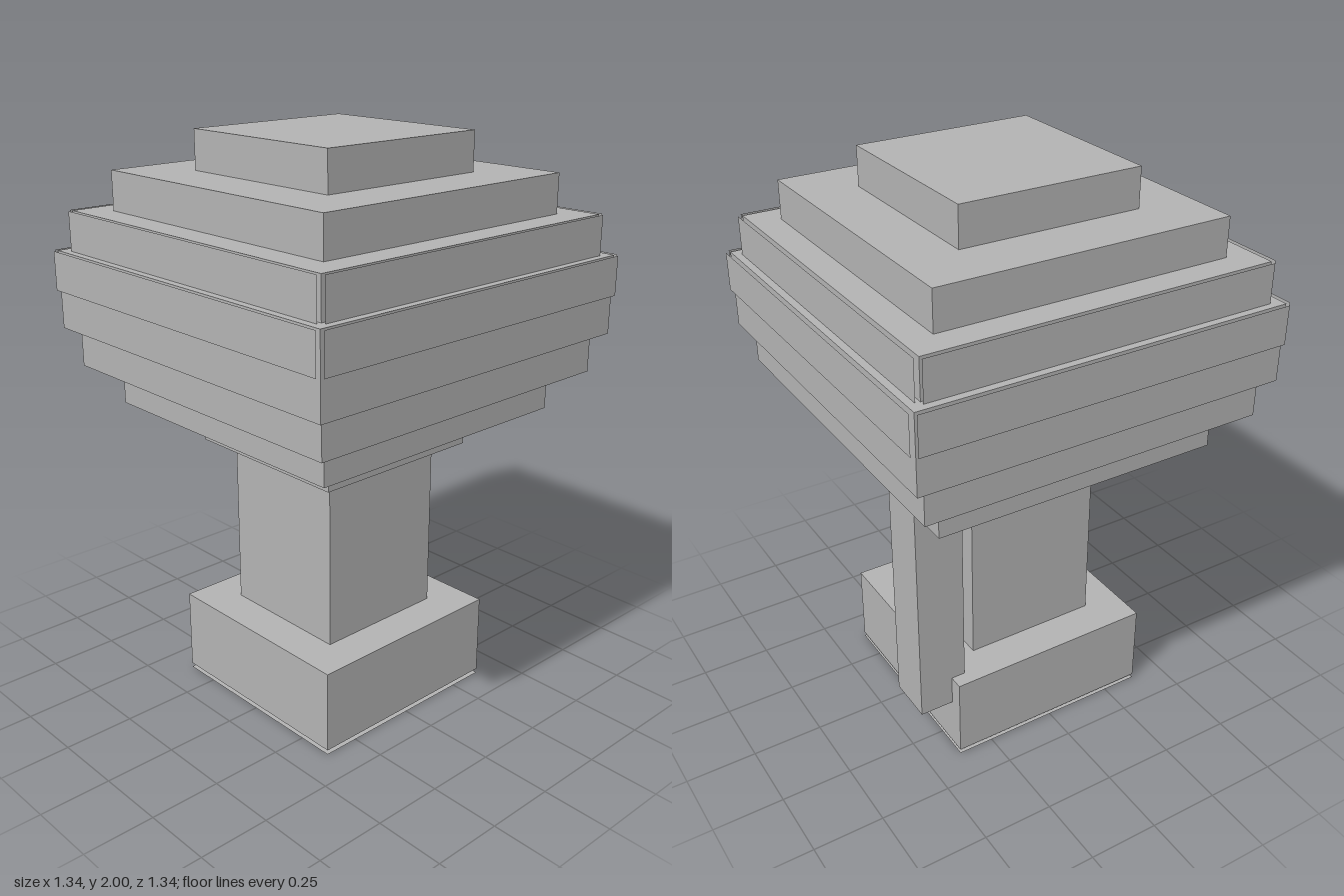
import * as THREE from 'three';

export function createModel() {
  const model = new THREE.Group();
  const stone = new THREE.MeshStandardMaterial({ color: 0xb2b2b2 });
  stone.name = 'grey';
  stone.side = THREE.DoubleSide;
  const GAP = 0.016; // distance of the loose cover sheets from the blocks

  function block(name, x0, x1, y0, y1, z0, z1) {
    const mesh = new THREE.Mesh(new THREE.BoxGeometry(x1 - x0, y1 - y0, z1 - z0), stone);
    mesh.name = name;
    mesh.position.set((x0 + x1) / 2, (y0 + y1) / 2, (z0 + z1) / 2);
    model.add(mesh);
  }
  const square = (name, r, y0, y1) => block(name, -r, r, y0, y1, -r, r);

  // Four flat sheets floating just off the sides of a tier
  function sideSheets(name, r, y0, y1) {
    const group = new THREE.Group();
    group.name = name;
    for (let i = 0; i < 4; i++) {
      const sheet = new THREE.Mesh(new THREE.PlaneGeometry(r * 2, y1 - y0).translate(0, 0, r + GAP), stone);
      sheet.name = 'sideSheet';
      sheet.position.y = (y0 + y1) / 2;
      sheet.rotation.y = i * Math.PI / 2;
      group.add(sheet);
    }
    model.add(group);
  }

  // Pedestal, with a sheet under it
  square('base', 0.379, GAP, 0.309);
  const under = new THREE.Mesh(new THREE.PlaneGeometry(0.758, 0.758).rotateX(Math.PI / 2), stone);
  under.name = 'bottomSheet';
  model.add(under);
  square('column', 0.243, 0.309, 0.924);

  // Stepped head: widths follow a sphere
  const radii = [0.32, 0.516, 0.613, 0.655, 0.655, 0.613, 0.516, 0.32];
  const step = (2 - 0.924) / radii.length;
  radii.forEach((r, i) => {
    const y0 = 0.924 + i * step;
    square('headTier' + (i + 1), r, y0, y0 + step);
    if (i === 4 || i === 5) sideSheets('tierCover' + (i + 1), r, y0, y0 + step);
  });

  // Post hanging from the head behind the column
  block('sidePost', 0.328, 0.5, 0.2, 0.924 + step, -0.328, -0.158);

  return model;
}
